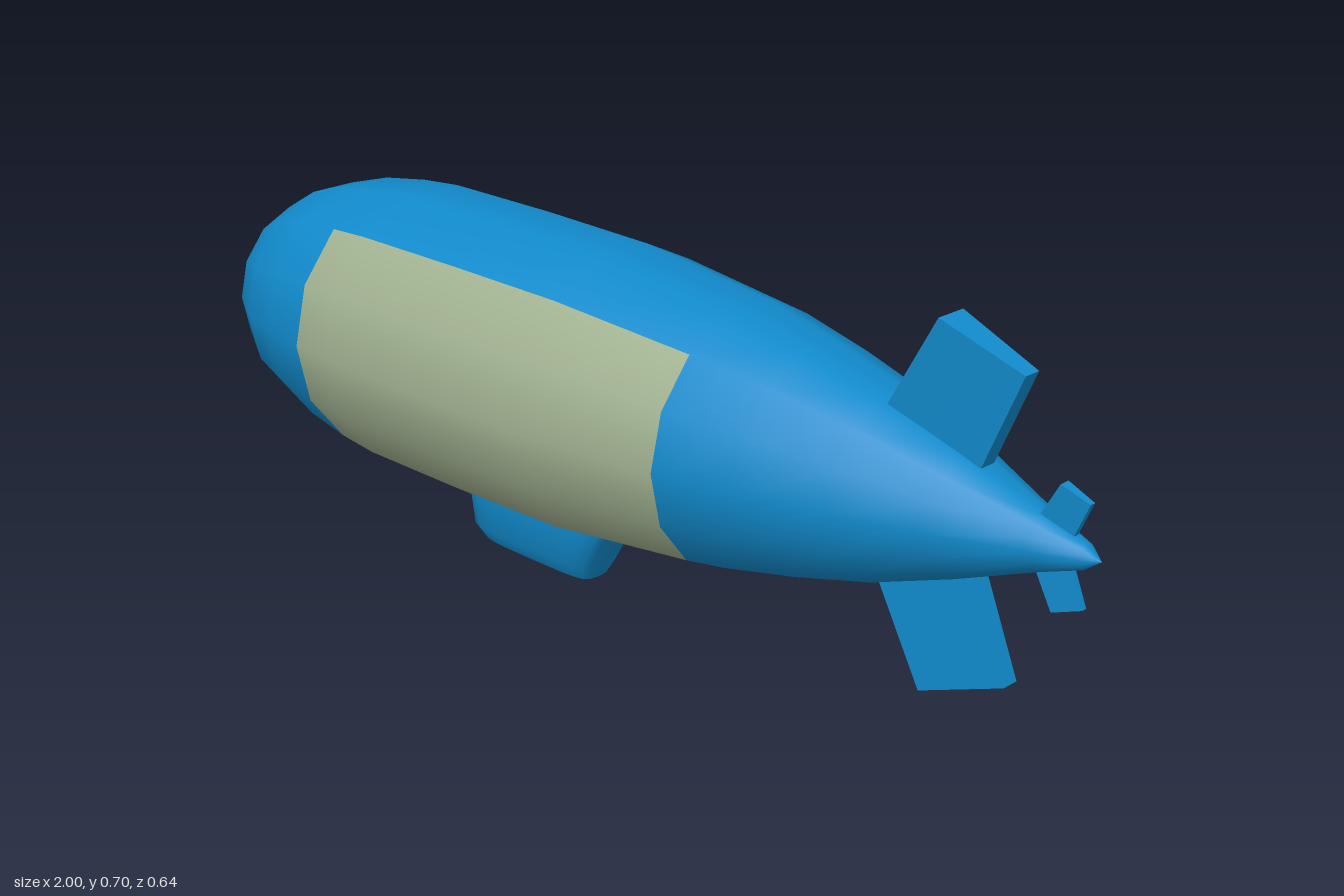
import * as THREE from 'three';
import { toCreasedNormals } from 'three/addons/utils/BufferGeometryUtils.js';

const blue = new THREE.MeshStandardMaterial({ color: 0x118acb });
const olive = new THREE.MeshStandardMaterial({ color: 0x9fb08f });
const blueFlat = new THREE.MeshStandardMaterial({ color: 0x118acb, flatShading: true });

const AXIS_Y = 0.385;
const SIDES = 14;

// Hull profile: [position along the axis, radius], nose to tail
const PROFILE = [
  [-1.008, 0], [-0.985, 0.085], [-0.91, 0.165], [-0.81, 0.221], [-0.71, 0.25], [-0.6, 0.267],
  [-0.505, 0.275], [-0.25, 0.275], [0, 0.27], [0.3, 0.236], [0.45, 0.204], [0.607, 0.163],
  [0.76, 0.108], [0.91, 0.048], [0.985, 0.021], [1.012, 0],
];

function addMesh(parent, name, geometry, material) {
  const mesh = new THREE.Mesh(geometry, material);
  mesh.name = name;
  parent.add(mesh);
  return mesh;
}

// One lathe, its faces shared out between the hull and the two side panels
function addHull(parent) {
  const lathe = new THREE.LatheGeometry(PROFILE.map(([s, r]) => new THREE.Vector2(r, s)), SIDES);
  lathe.rotateZ(-Math.PI / 2);
  const rows = PROFILE.length - 1;
  const first = PROFILE.findIndex(([s]) => s === -0.6);
  const last = PROFILE.findIndex(([s]) => s === 0.3);
  const faces = { hull: [], frontPanel: [], backPanel: [] };
  for (let i = 0; i < SIDES; i++) {
    for (let j = 0; j < rows; j++) {
      let part = 'hull';
      if (j >= first && j < last) {
        if (i < 2 || i >= SIDES - 2) part = 'frontPanel';
        else if (i >= 5 && i <= 8) part = 'backPanel';
      }
      const start = (i * rows + j) * 6;
      faces[part].push(...lathe.index.array.slice(start, start + 6));
    }
  }
  for (const [name, index] of Object.entries(faces)) {
    const geometry = lathe.clone();
    geometry.setIndex(index);
    addMesh(parent, name, geometry, name === 'hull' ? blue : olive);
  }
}

// Swept fin, thicker at its leading edge
function finGeometry() {
  const root = [[0.565, 0.055], [0.765, 0.02]];
  const tip = [[0.709, 0.32], [0.865, 0.262]];
  const geometry = new THREE.BoxGeometry(1, 1, 1);
  const p = geometry.attributes.position;
  for (let i = 0; i < p.count; i++) {
    const rear = p.getX(i) > 0 ? 1 : 0;
    const [x, y] = (p.getY(i) > 0 ? tip : root)[rear];
    p.setXYZ(i, x, y, p.getZ(i) * (rear ? 0.034 : 0.062));
  }
  geometry.computeVertexNormals();
  return geometry;
}

// Upper and lower fin as a mirrored pair
function addFinPair(parent, name, scale, offset) {
  const pair = new THREE.Group();
  pair.name = name;
  pair.scale.setScalar(scale);
  pair.position.x = offset;
  const geometry = finGeometry();
  addMesh(pair, 'upperFin', geometry, blueFlat);
  addMesh(pair, 'lowerFin', geometry, blueFlat).rotation.x = Math.PI;
  parent.add(pair);
}

// Rounded cabin below the hull, sections: [height, front, rear, half width]
function addGondola(parent) {
  const sections = [
    [0.15, -0.385, 0.04, 0.06], [0.1, -0.38, -0.005, 0.06],
    [0.03, -0.37, -0.045, 0.055], [0, -0.35, -0.06, 0.038],
  ];
  const geometry = new THREE.CylinderGeometry(1, 1, 1, 20, 3);
  const p = geometry.attributes.position;
  const square = (v) => (Math.abs(v) < 1e-6 ? 0 : Math.sign(v) * Math.abs(v) ** 0.45);
  for (let i = 0; i < p.count; i++) {
    const [y, front, rear, half] = sections[Math.round((0.5 - p.getY(i)) * 3)];
    const x = (front + rear) / 2 + square(p.getX(i)) * (rear - front) / 2;
    p.setXYZ(i, x, y - AXIS_Y, square(p.getZ(i)) * half);
  }
  addMesh(parent, 'gondola', toCreasedNormals(geometry, 0.9), blue);
}

export function createModel() {
  const model = new THREE.Group();
  model.name = 'airship';

  // The airship is turned slightly about the vertical
  const body = new THREE.Group();
  body.name = 'body';
  body.position.set(0, AXIS_Y, -0.035);
  body.rotation.y = 0.155;
  model.add(body);

  addHull(body);
  addGondola(body);
  addFinPair(body, 'tailFins', 1, 0);
  addFinPair(body, 'rearVanes', 0.334, 0.699);
  return model;
}
